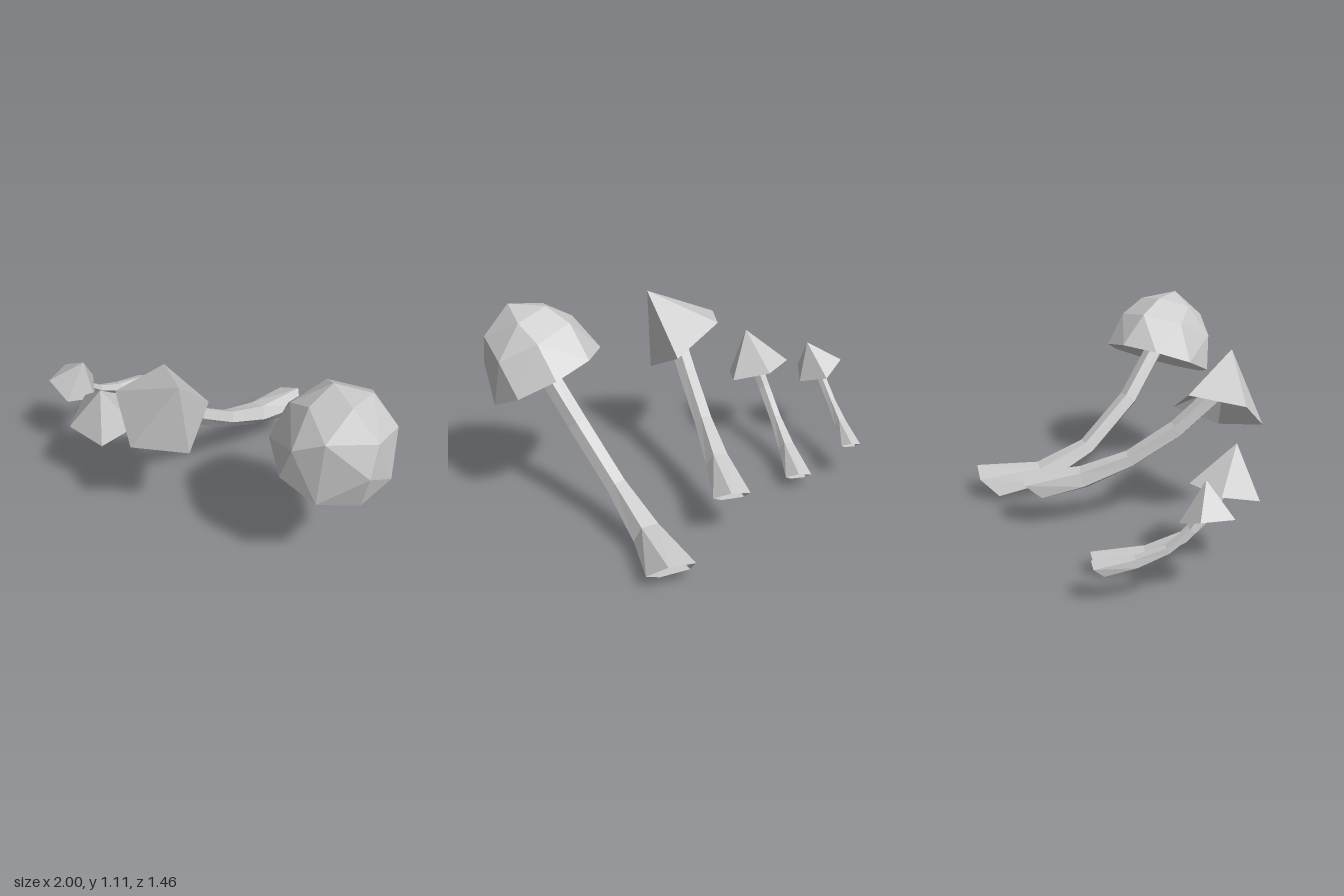
import * as THREE from 'three';
import { ConvexGeometry } from 'three/addons/geometries/ConvexGeometry.js';

const V = (p) => new THREE.Vector3(...p);
const material = new THREE.MeshStandardMaterial({ color: 0xcccccc, flatShading: true, side: THREE.DoubleSide });

function facets(points, name) {
  const geometry = new THREE.BufferGeometry().setFromPoints(points);
  geometry.computeVertexNormals();
  const mesh = new THREE.Mesh(geometry, material);
  mesh.name = name;
  return mesh;
}

// Evenly spaced angles in degrees
const spread = (sides, start) => Array.from({ length: sides }, (_, k) => start + (k * 360) / sides);

// Points at the given angles round a centre, in the plane of u and v
function ring(centre, u, v, radius, degrees) {
  return degrees.map((deg) => {
    const a = THREE.MathUtils.degToRad(deg);
    return centre.clone().addScaledVector(u, radius * Math.cos(a)).addScaledVector(v, radius * Math.sin(a));
  });
}

// Five-sided stem swept along a bend, with a flared, slanted open foot
function stem(bend, footRadius, radius) {
  const sides = 5, steps = 4;
  const curve = new THREE.QuadraticBezierCurve3(...bend.map(V));
  const rings = Array.from({ length: steps + 1 }, (_, i) => {
    const dir = curve.getTangent(i / steps);
    if (i === 0) dir.y += 1.1;
    dir.normalize();
    const u = new THREE.Vector3(1, 0, 0).addScaledVector(dir, -dir.x).normalize();
    const v = new THREE.Vector3().crossVectors(dir, u);
    const r = [footRadius, (footRadius + 2 * radius) / 3, radius][Math.min(i, 2)];
    return ring(curve.getPoint(i / steps), u, v, r, spread(sides, -90));
  });
  const tris = [];
  for (let i = 0; i < steps; i++) {
    for (let k = 0; k < sides; k++) {
      const n = (k + 1) % sides;
      const a = rings[i][k], b = rings[i][n], c = rings[i + 1][n], d = rings[i + 1][k];
      tris.push(a, b, c, a, c, d);
    }
  }
  return facets(tris, 'stem');
}

// Faceted cap: convex shell from rim to tip, with a hollow underside.
// Each crown ring is [share of radius, share of height, angles].
function cap(base, tip, rimStart, sides, crown) {
  const centre = V(base), apex = V(tip);
  const rise = apex.clone().sub(centre);
  const axis = rise.clone().normalize();
  const u = V(rimStart).sub(centre);
  const radius = u.length();
  u.addScaledVector(axis, -u.dot(axis)).normalize();
  const v = new THREE.Vector3().crossVectors(axis, u);
  const rim = ring(centre, u, v, radius, spread(sides, 0));
  const upper = crown.flatMap(([r, h, degrees]) =>
    ring(centre.clone().addScaledVector(rise, h), u, v, radius * r, degrees));

  const hull = new ConvexGeometry([...rim, ...upper, apex]).getAttribute('position');
  const onRim = (p) => Math.abs(p.clone().sub(centre).dot(axis)) < 1e-4;
  const tris = [];
  for (let i = 0; i < hull.count; i += 3) {
    const face = [0, 1, 2].map((k) => new THREE.Vector3().fromBufferAttribute(hull, i + k));
    if (!face.every(onRim)) tris.push(...face);
  }
  const hollow = centre.clone().addScaledVector(rise, 0.4);
  rim.forEach((p, i) => tris.push(hollow, rim[(i + 1) % sides], p));
  return facets(tris, 'cap');
}

const roundCrown = [
  [0.87, 0.48, [43, 115, 162, 211, 260, 315]],
  [0.59, 0.78, [-20, 65, 155, 217, 275]],
];

const mushrooms = [
  {
    name: 'largeRoundMushroom', foot: 0.13, radius: 0.055,
    bend: [[0.755, 0.09, -0.64], [0.53, 0.02, -0.06], [0.745, 0.9, 0.51]],
    base: [0.7, 0.735, 0.435], tip: [0.8, 1.11, 0.6], rimStart: [0.68, 0.6, 0.72], sides: 9, crown: roundCrown,
  },
  {
    name: 'mediumPointedMushroom', foot: 0.1, radius: 0.05,
    bend: [[0.265, 0.255, -0.53], [0, 0.3, -0.05], [-0.14, 0.83, 0.425]],
    base: [-0.2, 0.715, 0.36], tip: [-0.05, 1, 0.52], rimStart: [-0.285, 0.645, 0.595], sides: 5, crown: [],
  },
  {
    name: 'smallPointedMushroom', foot: 0.075, radius: 0.034,
    bend: [[-0.37, 0.07, -0.4], [-0.65, 0.135, 0.05], [-0.595, 0.56, 0.22]],
    base: [-0.605, 0.465, 0.19], tip: [-0.58, 0.7, 0.26], rimStart: [-0.553, 0.39, 0.357], sides: 5, crown: [],
  },
  {
    name: 'tinyPointedMushroom', foot: 0.055, radius: 0.026,
    bend: [[-0.655, 0.215, -0.525], [-0.87, 0.28, -0.185], [-0.85, 0.545, -0.04]],
    base: [-0.88, 0.475, -0.05], tip: [-0.8, 0.65, -0.03], rimStart: [-0.861, 0.451, 0.092], sides: 5, crown: [],
  },
];

export function createModel() {
  const model = new THREE.Group();
  model.name = 'mushroomCluster';
  for (const m of mushrooms) {
    const group = new THREE.Group();
    group.name = m.name;
    group.add(stem(m.bend, m.foot, m.radius), cap(m.base, m.tip, m.rimStart, m.sides, m.crown));
    model.add(group);
  }
  return model;
}
